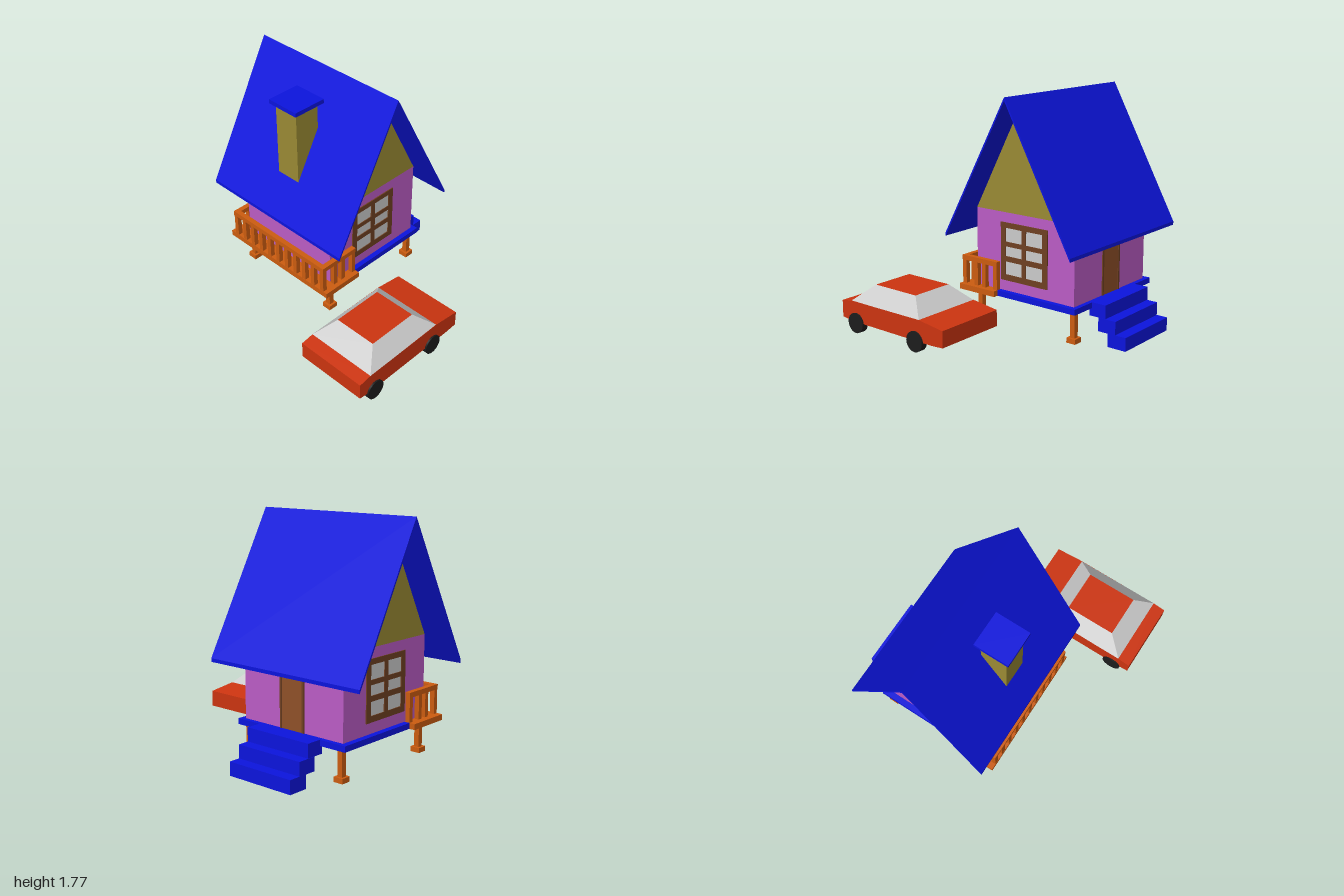
import * as THREE from 'three';

const mat = (color) => new THREE.MeshStandardMaterial({ color, side: THREE.DoubleSide });
const M = {
  blue: mat(0x0c14dd), pink: mat(0xbb5cc5), olive: mat(0x9a8a34), brown: mat(0x6f4022),
  door: mat(0x8f5028), orange: mat(0xcc5c10), red: mat(0xcc3410), grey: mat(0xcccccc), black: mat(0x1c1c1c),
};
const CX = 0.115, CZ = -0.32; // house centre

function add(parent, name, geo, material) {
  const mesh = new THREE.Mesh(geo, material);
  mesh.name = name;
  parent.add(mesh);
  return mesh;
}

// Box given by its limits on each axis
function box(parent, name, material, x0, x1, y0, y1, z0, z1) {
  const mesh = add(parent, name, new THREE.BoxGeometry(x1 - x0, y1 - y0, z1 - z0), material);
  mesh.position.set((x0 + x1) / 2, (y0 + y1) / 2, (z0 + z1) / 2);
  return mesh;
}

const poly = (pts) => new THREE.Shape(pts.map(([x, y]) => new THREE.Vector2(x, y)));
const rect = (x0, x1, y0, y1) => [[x0, y0], [x1, y0], [x1, y1], [x0, y1]];
function extrude(pts, depth, holes = []) {
  const shape = poly(pts);
  shape.holes = holes.map(poly);
  return new THREE.ExtrudeGeometry(shape, { depth, bevelEnabled: false });
}

function group(parent, name) {
  const g = new THREE.Group();
  g.name = name;
  parent.add(g);
  return g;
}

function buildHouse(root) {
  const house = group(root, 'house');

  // Hollow walls, open below
  const walls = add(house, 'walls', extrude(rect(-0.45, 0.45, -0.45, 0.45), 0.6, [rect(-0.44, 0.44, -0.44, 0.44)]), M.pink);
  walls.rotation.x = -Math.PI / 2;
  walls.position.set(CX, 0.3, CZ);

  // Gables and windows at both ends
  for (const s of [1, -1]) {
    const end = group(house, s > 0 ? 'frontEnd' : 'backEnd');
    end.position.set(CX, 0, CZ + s * 0.45);
    if (s < 0) end.rotation.y = Math.PI;
    add(end, 'gable', new THREE.ShapeGeometry(poly([[-0.45, 0.9], [0.45, 0.9], [0, 1.755]])), M.olive);
    const panes = [];
    for (const [y0, y1] of [[0.43, 0.53], [0.57, 0.645], [0.68, 0.785]]) {
      panes.push(rect(-0.17, -0.02, y0, y1), rect(0.02, 0.17, y0, y1));
    }
    const frame = add(end, 'windowFrame', extrude(rect(-0.215, 0.215, 0.385, 0.825), 0.026, panes), M.brown);
    frame.position.z = -0.018;
    box(end, 'windowGlass', M.grey, -0.19, 0.19, 0.41, 0.8, -0.022, 0.002);
  }

  // Door on the left wall
  const frame = add(house, 'doorFrame', extrude(rect(-0.11, 0.11, 0.3, 0.725), 0.02, [rect(-0.093, 0.093, 0.302, 0.705)]), M.brown);
  frame.rotation.y = Math.PI / 2;
  frame.position.set(0.553, 0, CZ);
  box(house, 'door', M.door, 0.553, 0.568, 0.302, 0.71, CZ - 0.095, CZ + 0.095);

  // Steep roof
  const roof = add(house, 'roof', extrude(
    [[0, 1.77], [-0.57, 0.73], [-0.57, 0.703], [0, 1.745], [0.57, 0.703], [0.57, 0.73]], 1.35), M.blue);
  roof.position.set(CX, 0, -1);

  // Chimney
  box(house, 'chimney', M.olive, -0.298, -0.092, 0.95, 1.6, -0.428, -0.222);
  box(house, 'chimneyCap', M.blue, -0.33, -0.06, 1.597, 1.63, -0.46, -0.19);
}

function buildBase(root) {
  const base = group(root, 'base');

  // Floor border around the front, left and back of the walls
  const border = add(base, 'floorBorder', extrude(
    [[-0.11, -0.815], [0.6, -0.815], [0.6, 0.17], [-0.11, 0.17], [-0.11, 0.125], [0.557, 0.125], [0.557, -0.765], [-0.11, -0.765]],
    0.043), M.blue);
  border.rotation.x = Math.PI / 2;
  border.position.y = 0.304;

  // Porch deck
  box(base, 'porchDeck', M.orange, -0.45, -0.11, 0.26, 0.303, -0.86, 0.21);

  // Stilts with feet
  for (const x of [-0.317, 0.548]) {
    for (const z of [CZ - 0.425, CZ + 0.425]) {
      box(base, 'stilt', M.orange, x - 0.02, x + 0.02, 0.06, 0.27, z - 0.02, z + 0.02);
      box(base, 'foot', M.orange, x - 0.038, x + 0.038, 0.033, 0.07, z - 0.038, z + 0.038);
    }
  }

  // Railing: two short ends and one long side
  const rail = group(base, 'railing');
  const post = (x, z, w = 0.018) => box(rail, 'baluster', M.orange, x - w, x + w, 0.3, 0.485, z - w, z + w);
  for (const z of [CZ - 0.475, CZ + 0.475]) {
    for (const x of [-0.43, -0.317, -0.24, -0.13]) post(x, z);
    box(rail, 'endRail', M.orange, -0.45, -0.11, 0.483, 0.52, z - 0.02, z + 0.02);
  }
  for (let i = 1; i < 10; i++) post(-0.43, CZ - 0.475 + i * 0.095);
  box(rail, 'sideRail', M.orange, -0.45, -0.41, 0.483, 0.52, CZ - 0.47, CZ + 0.47);

  // Steps up to the door
  [[0.74, 0.892, 0], [0.657, 0.803, 0.1], [0.58, 0.717, 0.203]].forEach(([x0, x1, y]) =>
    box(base, 'step', M.blue, x0, x1, y, y + 0.102, CZ - 0.28, CZ + 0.28));
}

function buildCar(root) {
  const car = group(root, 'car');
  car.position.z = 0.703;

  // Body from its side outline
  const body = add(car, 'carBody', extrude(
    [[-0.9, 0.147], [-0.8, 0.135], [0, 0.135], [0.1, 0.142], [0.1, 0.264], [-0.12, 0.293], [-0.8, 0.29], [-0.9, 0.274]],
    0.56), M.red);
  body.position.z = -0.28;

  // Cabin: a box drawn in at the top, glass sides and painted roof
  const geo = new THREE.BoxGeometry(0.68, 0.12, 0.56);
  const p = geo.attributes.position;
  for (let i = 0; i < p.count; i++) {
    if (p.getY(i) > 0) p.setXYZ(i, Math.sign(p.getX(i)) * 0.2, 0.06, Math.sign(p.getZ(i)) * 0.167);
  }
  geo.computeVertexNormals();
  const cabin = add(car, 'carCabin', geo, [M.grey, M.grey, M.red, M.red, M.grey, M.grey]);
  cabin.position.set(-0.46, 0.351, 0);

  // Wheels
  for (const x of [-0.755, -0.16]) {
    for (const s of [1, -1]) {
      const wheel = add(car, 'wheel', new THREE.CylinderGeometry(0.075, 0.075, 0.05, 32), M.black);
      wheel.rotation.x = Math.PI / 2;
      wheel.position.set(x, 0.13, s * 0.267);
    }
  }
}

export function createModel() {
  const root = new THREE.Group();
  root.name = 'houseAndCar';
  buildHouse(root);
  buildBase(root);
  buildCar(root);
  return root;
}
